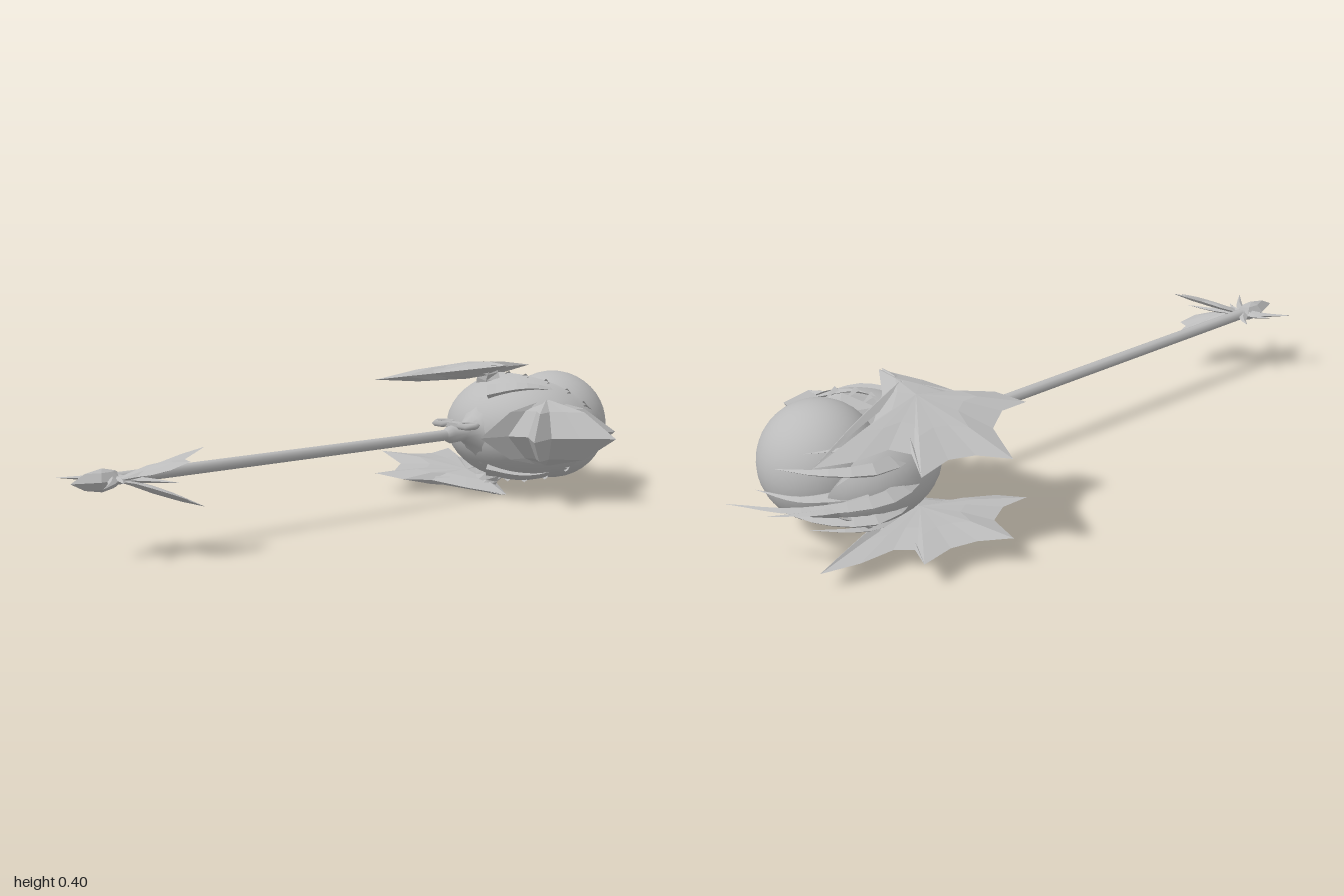
import * as THREE from 'three';

const stone = new THREE.MeshStandardMaterial({ color: 0xbbbbbb, side: THREE.DoubleSide });
stone.name = 'stone grey';
const MID = 0.2; // height of the staff axis

function add(group, name, geometry) {
  const mesh = new THREE.Mesh(geometry, stone);
  mesh.name = name;
  group.add(mesh);
  return mesh;
}

function facets(positions) {
  const g = new THREE.BufferGeometry();
  g.setAttribute('position', new THREE.Float32BufferAttribute(positions, 3));
  g.computeVertexNormals();
  return g;
}

// Faceted fin: an [x, z] outline, sharp at the edge and swelling towards the centre
function fin(outline, centre, half, yMid) {
  let area = 0;
  outline.forEach(([x, z], i) => {
    const [u, w] = outline[(i + 1) % outline.length];
    area += x * w - u * z;
  });
  const rim = area > 0 ? [...outline].reverse() : outline;
  const out = [];
  for (const side of [1, -1]) {
    const point = ([x, z], t) => {
      const px = centre[0] + (x - centre[0]) * t, pz = centre[1] + (z - centre[1]) * t;
      return [px, yMid(px, pz) + side * half * (1 - t * t), pz];
    };
    const tri = (a, b, c) => out.push(...(side > 0 ? [a, b, c] : [a, c, b]).flat());
    rim.forEach((a, i) => {
      const b = rim[(i + 1) % rim.length];
      tri(point(a, 0), point(a, 0.55), point(b, 0.55));
      tri(point(a, 0.55), point(a, 1), point(b, 1));
      tri(point(a, 0.55), point(b, 1), point(b, 0.55));
    });
  }
  return facets(out);
}

// Curved horn with a diamond cross-section tapering to a point
function horn(points, radius, flat, steps = 8) {
  const curve = new THREE.CatmullRomCurve3(points.map((p) => new THREE.Vector3(...p)));
  const rings = [];
  for (let i = 0; i <= steps; i++) {
    const t = i / steps, c = curve.getPoint(t), tan = curve.getTangent(t);
    const n = new THREE.Vector3(-tan.z, 0, tan.x).normalize();
    const b = new THREE.Vector3().crossVectors(tan, n).normalize();
    const r = radius * (1 - t) + 0.0005;
    rings.push([0, 1, 2, 3].map((k) => c.clone()
      .addScaledVector(n, r * Math.cos(k * Math.PI / 2))
      .addScaledVector(b, r * flat * Math.sin(k * Math.PI / 2)).toArray()));
  }
  const out = [];
  for (let i = 0; i < steps; i++) {
    for (let k = 0; k < 4; k++) {
      const a = rings[i][k], b = rings[i][(k + 1) % 4], c = rings[i + 1][(k + 1) % 4], d = rings[i + 1][k];
      out.push(...a, ...b, ...c, ...a, ...c, ...d);
    }
  }
  return facets(out);
}

// Cup surface: angle 0 is the neck pole; the mouth opens to the back, longer at the jaws
function cupPoint(phi, t) {
  const c = Math.cos(phi);
  const theta = t * (1.31 + c * c * (c < 0 ? 1.14 : 0.61));
  return new THREE.Vector3(
    0.025 + 0.235 * Math.sin(theta) * c,
    MID + 0.168 * Math.sin(theta) * Math.sin(phi),
    -0.6 + 0.235 * Math.cos(theta));
}

function cup() {
  const g = new THREE.PlaneGeometry(1, 1, 40, 14);
  const p = g.attributes.position, uv = g.attributes.uv;
  for (let i = 0; i < p.count; i++) {
    const v = cupPoint(uv.getX(i) * Math.PI * 2, 1 - uv.getY(i));
    p.setXYZ(i, v.x, v.y, v.z);
  }
  g.computeVertexNormals();
  return g;
}

export function createModel() {
  const model = new THREE.Group();
  model.name = 'staff';

  // Shaft and flared neck
  const shaft = add(model, 'shaft', new THREE.CylinderGeometry(0.016, 0.016, 1.28, 10));
  shaft.rotation.x = Math.PI / 2;
  shaft.position.set(0.03, MID, 0.27);
  const neck = add(model, 'neck', new THREE.LatheGeometry([
    [0.016, 0.12], [0.026, 0.1], [0.024, 0.05], [0.05, 0.01], [0.1, -0.03],
  ].reverse().map(([r, y]) => new THREE.Vector2(r, y)), 12));
  neck.rotation.x = Math.PI / 2;
  neck.position.set(0.03, MID, -0.38);

  // Hexagonal links on the neck
  for (const x of [-0.02, 0.08]) {
    const link = add(model, 'hexLink', new THREE.TorusGeometry(0.028, 0.009, 4, 6));
    link.rotation.x = Math.PI / 2;
    link.position.set(x, 0.228, -0.305);
  }
  const bar = add(model, 'linkBar', new THREE.BoxGeometry(0.06, 0.012, 0.03));
  bar.position.set(0.03, 0.228, -0.305);

  // Orb held in the open jaws
  const orb = add(model, 'orb', new THREE.SphereGeometry(0.163, 32, 20));
  orb.position.set(0.07, MID, -0.678);
  add(model, 'jawCup', cup());

  // Teeth along the upper and lower rims
  for (const side of [1, -1]) {
    for (let i = 0; i < 9; i++) {
      const phi = side * (0.5 + i * 0.27);
      const root = cupPoint(phi, 0.97);
      const tip = root.clone().add(new THREE.Vector3(0, -side * 0.02, -0.04));
      add(model, 'tooth', horn([root.toArray(), tip.toArray()], 0.013, 0.7, 2));
    }
  }

  // Crest of horns sweeping around the right side of the orb
  const y = MID;
  add(model, 'mainCrestHorn', horn([[-0.1, y, -0.48], [-0.21, y, -0.66], [-0.13, y, -0.86], [0.02, y, -0.985]], 0.05, 0.6, 12));
  add(model, 'crestBarb', horn([[-0.19, y, -0.7], [-0.17, y, -0.82], [-0.1, y, -0.94]], 0.03, 0.5));
  add(model, 'crestBarb', horn([[-0.14, y, -0.72], [-0.08, y, -0.83], [0.035, y, -0.89]], 0.03, 0.5));
  for (const s of [1, -1]) {
    add(model, 'sideCrestHorn', horn([[-0.1, y + s * 0.05, -0.5], [-0.18, y + s * 0.07, -0.66],
      [-0.11, y + s * 0.07, -0.78], [0, y + s * 0.06, -0.85]], 0.045, 0.7));
    add(model, 'outerCrestHorn', horn([[-0.05, y + s * 0.12, -0.5], [-0.12, y + s * 0.13, -0.62],
      [-0.12, y + s * 0.12, -0.7], [-0.06, y + s * 0.11, -0.8]], 0.035, 0.6));
    // Brow ridge beside the beak
    add(model, 'browRidge', horn([[0.04, y + s * 0.11, -0.43], [0.13, y + s * 0.13, -0.5],
      [0.2, y + s * 0.11, -0.62]], 0.045, 0.6));
  }

  // Spiked beak on the left side
  add(model, 'beakFrill', fin([
    [0.04, -0.42], [0.11, -0.37], [0.145, -0.29], [0.17, -0.38], [0.22, -0.41], [0.31, -0.34],
    [0.285, -0.44], [0.34, -0.5], [0.415, -0.57], [0.33, -0.575], [0.29, -0.61], [0.31, -0.69],
    [0.25, -0.66], [0.23, -0.73], [0.1, -0.6],
  ], [0.19, -0.52], 0.1, () => MID));

  // Webbed wings above and below the cup
  const wing = [
    [0.08, -0.47], [-0.02, -0.4], [-0.12, -0.35], [-0.16, -0.27], [-0.24, -0.23], [-0.24, -0.31],
    [-0.29, -0.38], [-0.42, -0.42], [-0.36, -0.49], [-0.34, -0.56], [-0.365, -0.66], [-0.28, -0.62],
    [-0.23, -0.66], [-0.23, -0.76], [-0.2, -0.86], [-0.16, -0.75], [-0.13, -0.64], [-0.02, -0.53],
  ];
  for (const s of [1, -1]) {
    const plane = (x) => MID + s * (0.181 + 0.16 * x);
    add(model, s > 0 ? 'upperWing' : 'lowerWing', fin(wing, [-0.1, -0.48], 0.026, plane));
    // Finger bones along the web
    for (const [x, z] of [[-0.24, -0.23], [-0.42, -0.42], [-0.365, -0.66], [-0.2, -0.86]]) {
      add(model, 'wingBone', horn([[-0.02, plane(-0.02), -0.47],
        [(x - 0.02) / 2, plane(x / 2), (z - 0.47) / 2 - 0.01], [x, plane(x), z]], 0.022, 0.9));
    }
    add(model, 'wingRoot', horn([[-0.02, plane(-0.02) - s * 0.07, -0.5], [0, plane(0), -0.47], [0.08, plane(0.08), -0.46]], 0.05, 0.5));
  }

  // Pommel: arrowhead, small spikes and a pair of webbed fins
  add(model, 'pommelHead', fin([
    [0.03, 0.84], [0.055, 0.87], [0.06, 0.93], [0.03, 1], [0, 0.93], [0.005, 0.87],
  ], [0.03, 0.91], 0.03, () => MID));
  for (const [x, z] of [[-0.078, 0.975], [0.14, 0.975], [-0.04, 0.82], [-0.05, 0.91], [0.11, 0.9], [0.185, 0.79]]) {
    add(model, 'pommelSpike', horn([[0.03, y, 0.88], [(x + 0.03) / 2, y, (z + 0.88) / 2 - 0.01], [x, y, z]], 0.018, 0.7));
  }
  const tailFin = [
    [0.03, 0.87], [0.06, 0.81], [0.11, 0.77], [0.155, 0.69], [0.155, 0.75], [0.185, 0.755],
    [0.165, 0.8], [0.13, 0.83], [0.09, 0.85], [0.06, 0.89],
  ];
  for (const s of [1, -1]) {
    add(model, 'pommelFin', fin(tailFin, [0.1, 0.81], 0.01,
      (x, z) => MID + s * Math.max(0, 0.87 - z) * 0.42));
  }
  return model;
}
